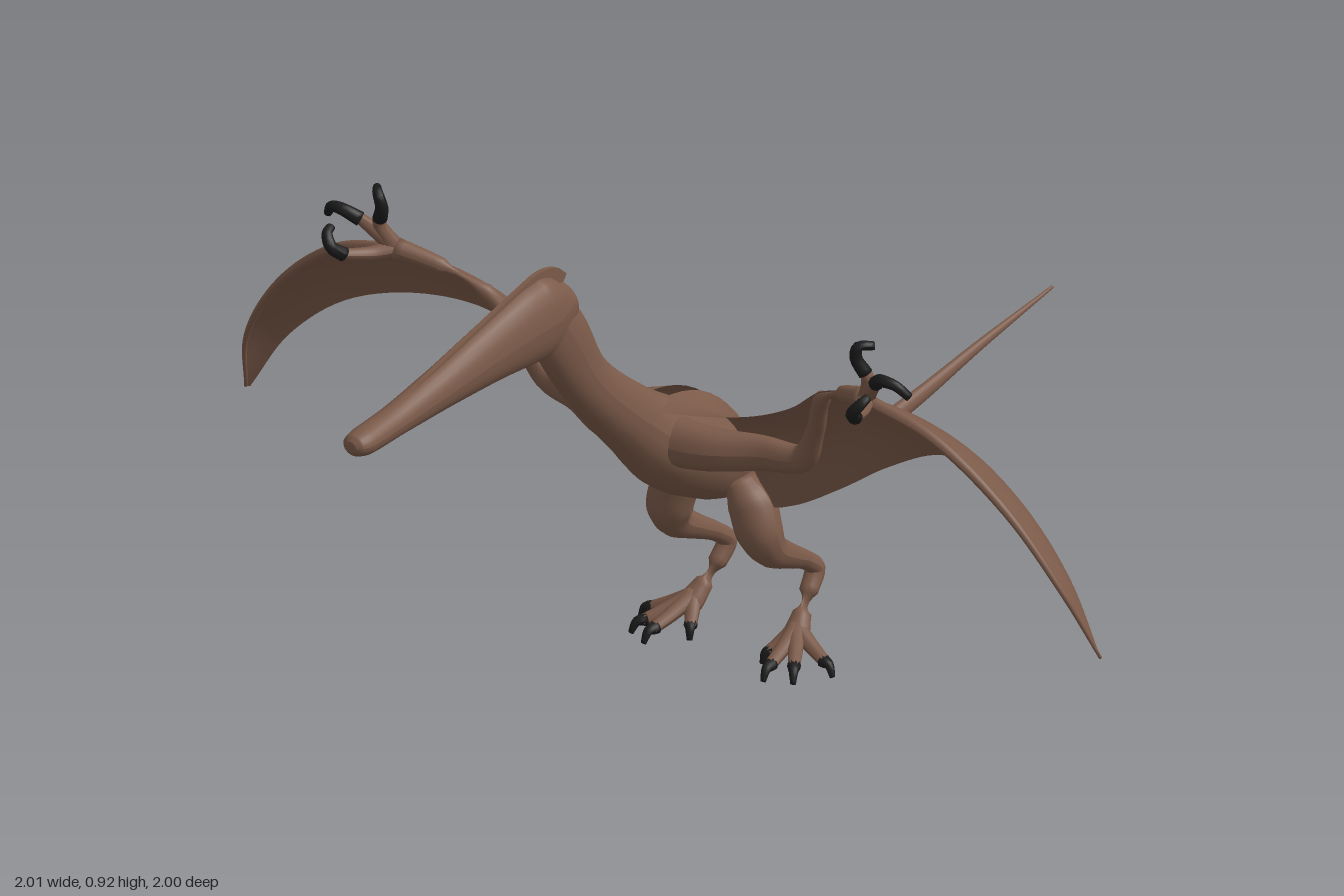
import * as THREE from 'three';

const V = (p) => new THREE.Vector3(p[0], p[1], p[2]);

// Grid of points -> smooth indexed surface
function gridSurface(rows, cols, fn) {
  const pos = [], idx = [];
  for (let i = 0; i <= rows; i++) {
    for (let j = 0; j <= cols; j++) {
      const p = fn(i / rows, j / cols);
      pos.push(p.x, p.y, p.z);
      if (i < rows && j < cols) {
        const a = i * (cols + 1) + j, b = a + cols + 1;
        idx.push(a, a + 1, b, b, a + 1, b + 1);
      }
    }
  }
  const g = new THREE.BufferGeometry();
  g.setAttribute('position', new THREE.Float32BufferAttribute(pos, 3));
  g.setIndex(idx);
  g.computeVertexNormals();
  return g;
}

// Closed loft: sections are [x, y, z, side radius, depth radius]
function loft(sections, steps = 6, sides = 16) {
  const n = sections.length - 1;
  const path = new THREE.CatmullRomCurve3(sections.map(V));
  const radii = new THREE.CatmullRomCurve3(
    sections.map((s) => new THREE.Vector3(s[3], s[4] ?? s[3], 0)));
  const span = V(sections[n]).sub(V(sections[0]));
  const ref = Math.abs(span.x) > 0.7 * span.length()
    ? new THREE.Vector3(0, 0, 1) : new THREE.Vector3(1, 0, 0);
  const rows = n * steps + 2;
  return gridSurface(rows, sides, (u, v) => {
    const i = Math.round(u * rows);
    const t = THREE.MathUtils.clamp((i - 1) / (rows - 2), 0, 1);
    const c = path.getPoint(t);
    if (i === 0 || i === rows) return c; // cap centres
    const tan = path.getTangent(t);
    const side = ref.clone().addScaledVector(tan, -ref.dot(tan)).normalize();
    const up = new THREE.Vector3().crossVectors(tan, side);
    const r = radii.getPoint(t), a = v * Math.PI * 2;
    return c.addScaledVector(side, Math.cos(a) * Math.max(r.x, 0.001))
      .addScaledVector(up, Math.sin(a) * Math.max(r.y, 0.001));
  });
}

export function createModel() {
  const skin = new THREE.MeshStandardMaterial({ color: 0x7b5a49, side: THREE.DoubleSide });
  const claw = new THREE.MeshStandardMaterial({ color: 0x1b1b1b });
  const model = new THREE.Group();
  const add = (parent, name, geometry, material = skin) => {
    const m = new THREE.Mesh(geometry, material);
    m.name = name;
    parent.add(m);
    return m;
  };

  // Tail, trunk and neck in one sweep
  add(model, 'body', loft([
    [0, 0.42, -1, 0.003, 0.003], [0, 0.375, -0.8, 0.008, 0.01], [0, 0.325, -0.6, 0.012, 0.017],
    [0, 0.29, -0.4, 0.016, 0.022], [0, 0.308, -0.25, 0.024, 0.033], [0, 0.352, -0.13, 0.042, 0.053],
    [0, 0.407, -0.02, 0.075, 0.08], [0, 0.46, 0.08, 0.086, 0.085], [0, 0.55, 0.2, 0.056, 0.066],
    [0, 0.672, 0.332, 0.04, 0.054], [0, 0.775, 0.4, 0.04, 0.062], [0, 0.835, 0.44, 0.038, 0.052],
  ], 8, 24));

  // Long beaked head
  add(model, 'head', loft([
    [0, 0.87, 0.385, 0.012, 0.025], [0, 0.856, 0.4, 0.034, 0.055], [0, 0.836, 0.45, 0.043, 0.08],
    [0, 0.83, 0.5, 0.043, 0.077], [0, 0.815, 0.6, 0.039, 0.062], [0, 0.789, 0.75, 0.034, 0.042],
    [0, 0.767, 0.88, 0.03, 0.03], [0, 0.756, 0.965, 0.03, 0.026], [0, 0.755, 0.99, 0.024, 0.02],
    [0, 0.755, 1, 0.012, 0.01],
  ], 6, 24));

  // Thin crest along the skull
  const crest = new THREE.Shape();
  crest.moveTo(0.42, 0.85);
  crest.lineTo(0.39, 0.9);
  crest.lineTo(0.41, 0.916);
  crest.quadraticCurveTo(0.45, 0.935, 0.5, 0.917);
  crest.quadraticCurveTo(0.65, 0.872, 0.85, 0.803);
  crest.lineTo(0.8, 0.78);
  const crestGeo = new THREE.ExtrudeGeometry(crest, { depth: 0.01, bevelEnabled: false });
  crestGeo.translate(0, 0, -0.005).rotateY(-Math.PI / 2);
  add(model, 'crest', crestGeo);

  // Leading and trailing edges of one wing, root to tip
  const lead = [
    [0.02, 0.575, 0.2], [0.12, 0.575, 0.16], [0.22, 0.59, 0.125], [0.31, 0.63, 0.125], [0.41, 0.7, 0.155],
    [0.55, 0.74, 0.205], [0.7, 0.695, 0.19], [0.85, 0.582, 0.165], [0.955, 0.44, 0.132], [1, 0.31, 0.08]];
  const trail = [
    [0.015, 0.355, -0.17], [0.095, 0.325, -0.065], [0.2, 0.362, -0.025], [0.31, 0.425, -0.022],
    [0.41, 0.49, -0.033], [0.52, 0.54, -0.044], [0.66, 0.55, -0.016], [0.8, 0.517, 0.03],
    [0.915, 0.428, 0.058], [0.995, 0.308, 0.074]];

  // Digits: [joint points], [claw points]
  const fingers = [
    [[[0.55, 0.74, 0.2], [0.572, 0.785, 0.22], [0.566, 0.81, 0.225]],
      [[0.568, 0.8, 0.224], [0.555, 0.83, 0.235], [0.562, 0.855, 0.237], [0.582, 0.855, 0.215]]],
    [[[0.55, 0.74, 0.2], [0.585, 0.778, 0.225], [0.61, 0.8, 0.24]],
      [[0.603, 0.794, 0.237], [0.63, 0.812, 0.255], [0.66, 0.808, 0.25], [0.68, 0.786, 0.235]]],
    [[[0.55, 0.74, 0.2], [0.575, 0.735, 0.24], [0.603, 0.745, 0.3]],
      [[0.598, 0.743, 0.29], [0.61, 0.762, 0.312], [0.625, 0.782, 0.305], [0.628, 0.79, 0.29]]],
  ];
  const toeTips = [[0.085, 0.014, -0.07], [0.14, 0.014, -0.005], [0.19, 0.014, -0.03], [0.225, 0.016, -0.1]];

  for (const s of [1, -1]) {
    const label = s > 0 ? 'left' : 'right';
    const flip = (pts) => pts.map((p) => [p[0] * s, ...p.slice(1)]);
    const taper = (pts, r0, r1) =>
      flip(pts).map((p, i) => [...p, r0 + (r1 - r0) * i / (pts.length - 1)]);

    const wing = new THREE.Group();
    wing.name = label + 'Wing';
    model.add(wing);

    // Cupped wing membrane, rising to lie flush with the back at its root
    const a = new THREE.CatmullRomCurve3(flip(lead).map(V));
    const b = new THREE.CatmullRomCurve3(flip(trail).map(V));
    add(wing, 'membrane', gridSurface(60, 14, (u, v) => {
      const p = a.getPoint(u).lerp(b.getPoint(u), v);
      const bulge = Math.sin(Math.PI * v) * (1 - u * u);
      p.y += (0.03 + 0.045 * (1 - u) ** 4) * bulge;
      p.z -= 0.02 * bulge;
      return p;
    }));

    // Flattened arm and the long wing finger
    add(wing, 'arm', loft(flip([
      [0.03, 0.5, 0.135, 0.045, 0.05], [0.12, 0.5, 0.125, 0.034, 0.042], [0.22, 0.508, 0.092, 0.022, 0.034],
      [0.3, 0.515, 0.078, 0.02, 0.026], [0.345, 0.585, 0.095, 0.016, 0.018], [0.395, 0.675, 0.135, 0.015, 0.016],
      [0.47, 0.715, 0.168, 0.015, 0.016], [0.55, 0.74, 0.2, 0.02, 0.02]])));
    add(wing, 'wingFinger', loft(taper(lead.slice(5), 0.013, 0.003), 8, 10));

    // Grasping fingers with stout claws
    for (const [joints, tip] of fingers) {
      add(wing, 'finger', loft(taper(joints, 0.017, 0.01), 5, 10));
      add(wing, 'fingerClaw', loft(taper(tip, 0.014, 0.008), 4, 10), claw);
    }

    // Thigh, backward shank and forward foot in one sweep
    const leg = new THREE.Group();
    leg.name = label + 'Leg';
    model.add(leg);
    add(leg, 'limb', loft(flip([
      [0.06, 0.375, -0.035, 0.025, 0.03], [0.088, 0.33, -0.038, 0.045, 0.045],
      [0.105, 0.28, -0.038, 0.045, 0.042], [0.112, 0.243, -0.058, 0.034, 0.034],
      [0.11, 0.21, -0.115, 0.025, 0.024], [0.104, 0.182, -0.17, 0.018, 0.018],
      [0.103, 0.157, -0.198, 0.02, 0.018], [0.107, 0.12, -0.175, 0.018, 0.017],
      [0.114, 0.088, -0.148, 0.018, 0.017], [0.123, 0.057, -0.12, 0.026, 0.02],
      [0.128, 0.04, -0.105, 0.01, 0.01]])));

    // Toes with hooked claws
    for (const tip of toeTips) {
      const root = [0.121, 0.068, -0.125];
      const at = (t, y) => [root[0] + (tip[0] - root[0]) * t, y, root[2] + (tip[2] - root[2]) * t];
      add(leg, 'toe', loft(taper([root, at(0.45, 0.044), at(0.82, 0.028)], 0.017, 0.011), 5, 10));
      add(leg, 'toeClaw', loft(taper([at(0.74, 0.03), at(0.9, 0.027), at(1, 0.006)], 0.013, 0.005), 4, 10), claw);
    }
  }
  return model;
}
